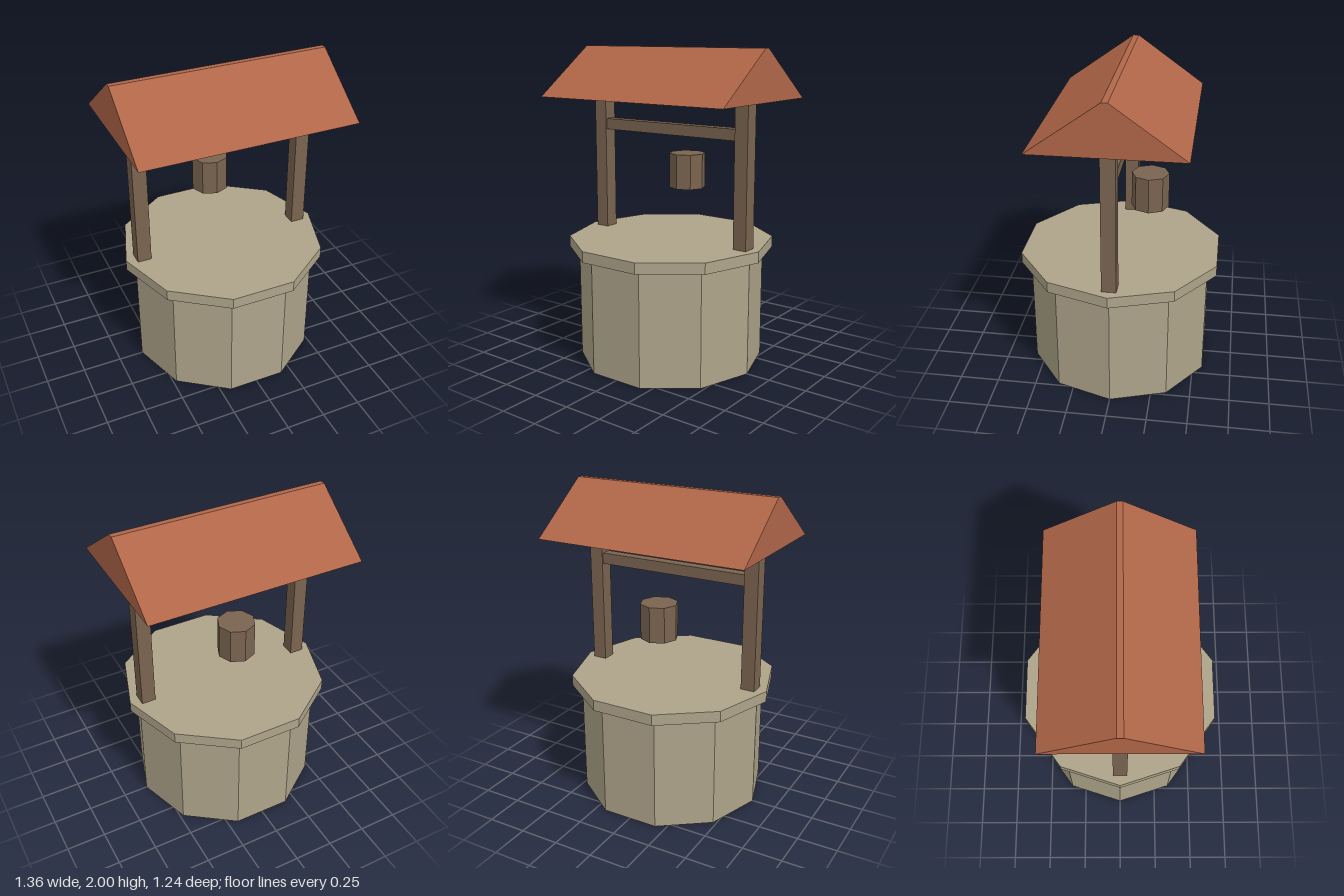
import * as THREE from 'three';

export function createModel() {
  const well = new THREE.Group();
  well.name = 'well';

  const material = (name, color) => {
    const m = new THREE.MeshStandardMaterial({ color, flatShading: true });
    m.name = name;
    return m;
  };
  const stone = material('stone', 0xaea48a);
  const wood = material('wood', 0x7a6450);
  const tile = material('roofTile', 0xb06648);

  const add = (name, geometry, mat, x, y, z) => {
    const mesh = new THREE.Mesh(geometry, mat);
    mesh.name = name;
    mesh.position.set(x, y, z);
    well.add(mesh);
  };
  // Faceted prism with a corner on the +x axis
  const prism = (radius, height, sides) =>
    new THREE.CylinderGeometry(radius, radius, height, sides, 1, false, Math.PI / 2);

  // Ten-sided stone wall and its overhanging rim
  add('wall', prism(0.592, 0.73, 10), stone, 0, 0.365, 0);
  add('rim', prism(0.654, 0.07, 10), stone, 0, 0.765, 0);

  // Posts and the crossbar between them
  for (const side of [-1, 1]) {
    add(side > 0 ? 'leftPost' : 'rightPost',
      new THREE.BoxGeometry(0.09, 0.9, 0.09), wood, side * 0.545, 1.245, 0);
  }
  add('crossbar', new THREE.BoxGeometry(1.0, 0.07, 0.07), wood, 0, 1.495, 0);

  // Eight-sided bucket hanging behind the crossbar
  add('bucket', prism(0.118, 0.225, 8), wood, 0, 1.208, -0.179);

  // Gable roof with a narrow flat ridge, extruded along x
  const gable = new THREE.Shape([
    [-0.452, 1.69], [0.452, 1.69], [0.018, 2], [-0.018, 2],
  ].map(([x, y]) => new THREE.Vector2(x, y)));
  const roof = new THREE.ExtrudeGeometry(gable, { depth: 1.36, bevelEnabled: false });
  roof.translate(0, 0, -0.68).rotateY(Math.PI / 2);
  add('roof', roof, tile, 0, 0, 0);

  return well;
}
